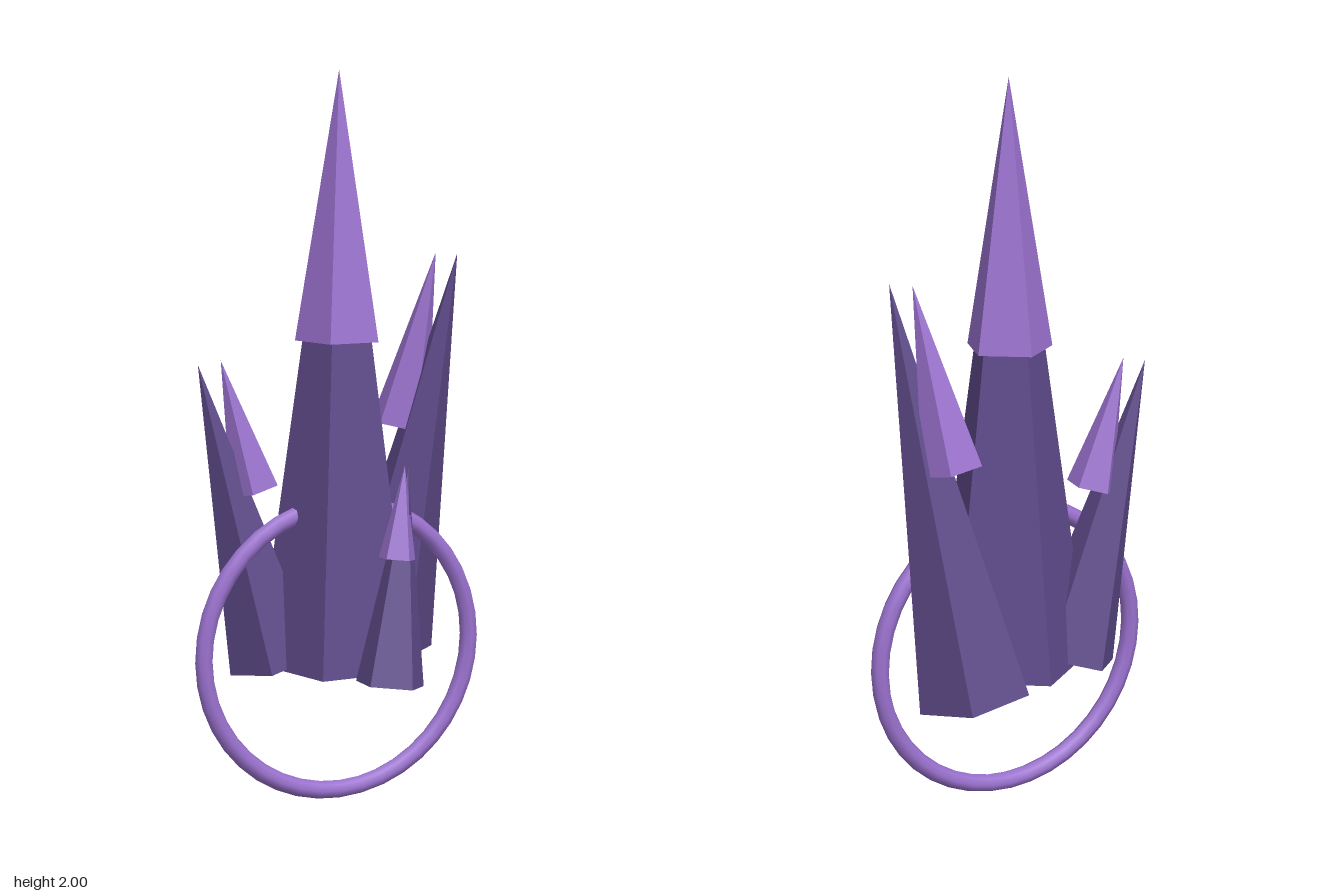
import * as THREE from 'three';

const shardMat = new THREE.MeshStandardMaterial({ color: 0x5f4b8b, flatShading: true });
shardMat.name = 'deep violet';
const lightMat = new THREE.MeshStandardMaterial({ color: 0x9b72cf, flatShading: true });
lightMat.name = 'light violet';
const ringMat = new THREE.MeshStandardMaterial({ color: 0x9b72cf });
ringMat.name = 'light violet smooth';

const UP = new THREE.Vector3(0, 1, 0);

// Five-sided spike from the centre of its base to its point; turn is in degrees about its axis
function spike(name, material, base, tip, radius, turn) {
  const start = new THREE.Vector3(...base);
  const axis = new THREE.Vector3(...tip).sub(start);
  const height = axis.length();
  const geometry = new THREE.ConeGeometry(radius, height, 5);
  geometry.translate(0, height / 2, 0);
  geometry.rotateY(THREE.MathUtils.degToRad(turn));
  const mesh = new THREE.Mesh(geometry, material);
  mesh.name = name;
  mesh.position.copy(start);
  mesh.quaternion.setFromUnitVectors(UP, axis.normalize());
  return mesh;
}

// Each crystal is a dark shard with a lighter cap
const crystals = [
  { name: 'mainCrystal', turn: 36, radius: 0.225, base: [0, 0.39, -0.025], tip: [0, 1.99, -0.025],
    capRadius: 0.12, capBase: [0, 1.28, -0.025], capTip: [0, 2, -0.025] },
  { name: 'backLeftCrystal', turn: 4.2, radius: 0.154, base: [0.22, 0.39, -0.225], tip: [0.367, 1.5, -0.045],
    capRadius: 0.083, capBase: [0.257, 1.02, -0.176], capTip: [0.326, 1.5, -0.095] },
  { name: 'backRightCrystal', turn: 45, radius: 0.129, base: [-0.165, 0.395, -0.09], tip: [-0.37, 1.22, -0.125],
    capRadius: 0.069, capBase: [-0.219, 0.877, -0.097], capTip: [-0.31, 1.23, -0.11] },
  { name: 'frontCrystal', turn: 12, radius: 0.095, base: [0.016, 0.39, 0.261], tip: [0.086, 0.96, 0.222],
    capRadius: 0.051, capBase: [0.042, 0.725, 0.247], capTip: [0.072, 0.97, 0.23] },
];

export function createModel() {
  const model = new THREE.Group();
  model.name = 'crystalCluster';

  for (const c of crystals) {
    const crystal = new THREE.Group();
    crystal.name = c.name;
    crystal.add(
      spike('shard', shardMat, c.base, c.tip, c.radius, c.turn),
      spike('cap', lightMat, c.capBase, c.capTip, c.capRadius, c.turn),
    );
    model.add(crystal);
  }

  // Upright ring threaded through the main crystal
  const ring = new THREE.Mesh(new THREE.TorusGeometry(0.4, 0.025, 8, 40), ringMat);
  ring.name = 'ring';
  ring.position.set(0, 0.43, -0.025);
  model.add(ring);

  return model;
}
